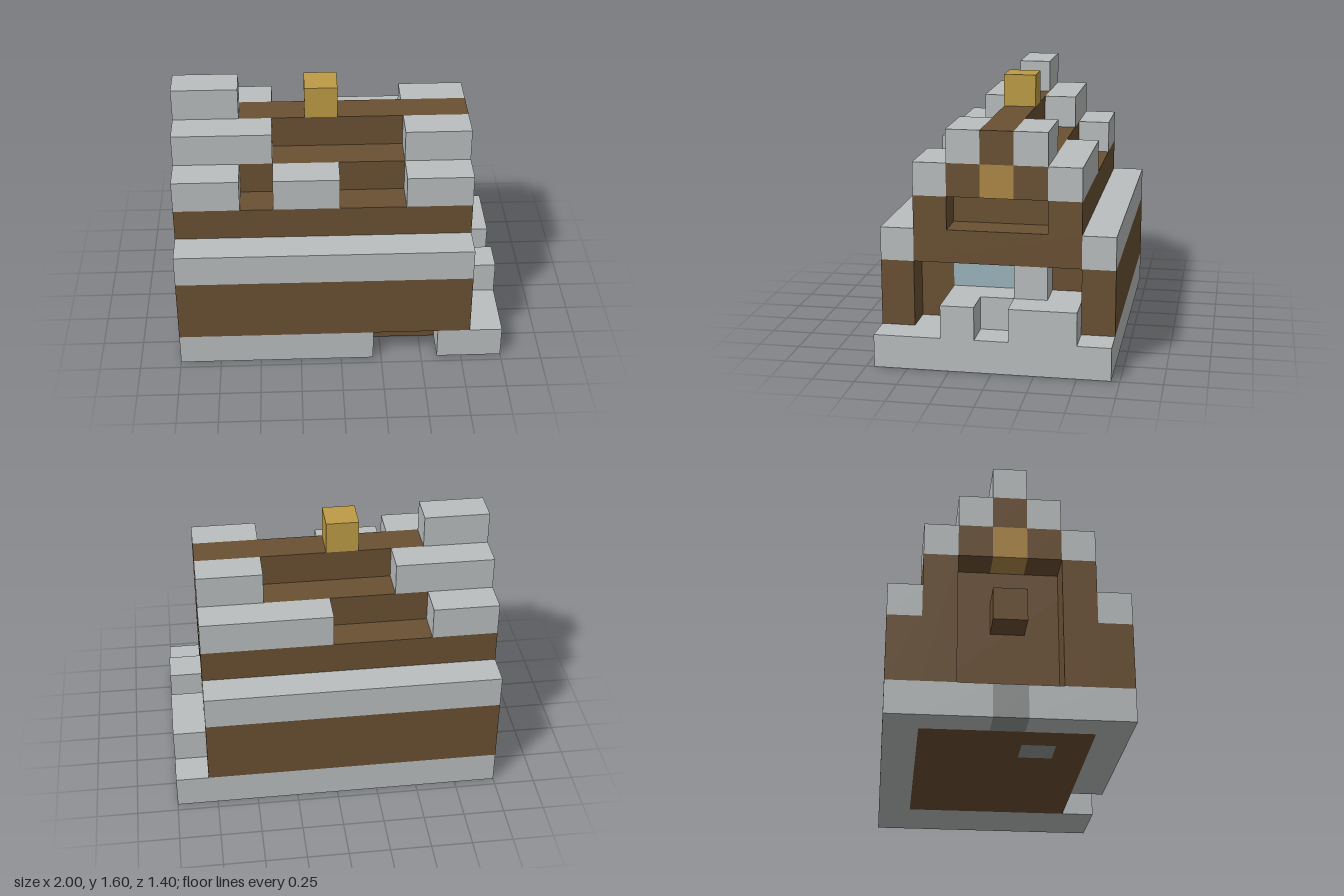
import * as THREE from 'three';

const paint = (name, color) => {
  const m = new THREE.MeshStandardMaterial({ color });
  m.name = name;
  return m;
};

export function createModel() {
  const root = new THREE.Group();
  root.name = 'blockHouse';
  const stone = paint('paleStone', 0xbabebe);
  const darkStone = paint('darkStone', 0x929494);
  const wood = paint('brownWood', 0x6a5033);
  const gold = paint('goldBlock', 0xbe9c46);
  const amber = paint('amberBlock', 0xae8745);
  const glass = paint('blueGlass', 0x9cb4be);

  // Box from its limits on each axis
  const box = (name, mat, x0, x1, y0, y1, z0, z1) => {
    const mesh = new THREE.Mesh(new THREE.BoxGeometry(x1 - x0, y1 - y0, z1 - z0), mat);
    mesh.position.set((x0 + x1) / 2, (y0 + y1) / 2, (z0 + z1) / 2);
    mesh.name = name;
    root.add(mesh);
  };
  // Same box on the front (+z) and the back (-z)
  const pair = (name, mat, x0, x1, y0, y1, z0, z1) => {
    box(name + 'Front', mat, x0, x1, y0, y1, z0, z1);
    box(name + 'Back', mat, x0, x1, y0, y1, -z1, -z0);
  };

  // Foundation rim, with a gap at the front
  box('rimBack', stone, -1, 1, 0, 0.2, -0.7, -0.5);
  box('rimFrontLong', stone, -1, 0.2, 0, 0.2, 0.5, 0.7);
  box('rimFrontShort', stone, 0.6, 1, 0, 0.2, 0.5, 0.7);
  box('porchFloor', stone, 0.6, 1, 0, 0.2, -0.5, 0.5);
  pair('rimEnd', stone, -1, -0.8, 0, 0.2, 0.1, 0.5);
  box('rimDarkBlock', darkStone, -1, -0.8, 0, 0.2, -0.1, 0.1);

  // Wooden floor around one dark block
  box('floorBack', wood, -0.8, 0.6, 0, 0.2, -0.5, 0.1);
  box('floorFront', wood, -0.8, 0.6, 0, 0.2, 0.3, 0.5);
  box('floorEnd', wood, -0.8, -0.6, 0, 0.2, 0.1, 0.3);
  box('floorMain', wood, -0.4, 0.6, 0, 0.2, 0.1, 0.3);
  box('floorDarkBlock', darkStone, -0.6, -0.4, 0, 0.2, 0.1, 0.3);

  // Body, end posts and side walls
  box('body', wood, -0.8, 0.6, 0.2, 1, -0.5, 0.5);
  pair('endPost', wood, -1, -0.8, 0.2, 1, 0.3, 0.5);
  box('beamEnd', wood, -1, -0.8, 0.6, 0.8, -0.1, 0.1);
  pair('sideWall', wood, -1, 0.8, 0.2, 0.6, 0.5, 0.7);
  pair('lowerEave', stone, -1, 0.8, 0.6, 0.8, 0.5, 0.7);
  box('porchBeam', wood, 0.6, 0.8, 0.6, 0.8, -0.5, 0.5);
  pair('porchBracket', wood, 0.6, 0.8, 0.8, 1, 0.3, 0.5);

  // Window and porch steps
  box('window', glass, 0.6, 0.605, 0.4, 0.6, -0.1, 0.3);
  box('stepInner', stone, 0.6, 0.8, 0.2, 0.4, -0.5, 0.3);
  box('stepBack', stone, 0.8, 1, 0.2, 0.4, -0.5, -0.1);
  box('stepFront', stone, 0.8, 1, 0.2, 0.4, 0.1, 0.3);
  box('stepUpper', stone, 0.6, 0.8, 0.4, 0.6, -0.3, -0.1);

  // Stepped roof core with amber gable blocks
  box('roofCore', wood, -0.8, 0.6, 1, 1.2, -0.3, 0.3);
  for (const [x0, x1] of [[-1, -0.8], [0.6, 0.8]]) {
    pair('gable', wood, x0, x1, 1, 1.2, 0.1, 0.3);
    box('gableBlock', amber, x0, x1, 1, 1.2, -0.1, 0.1);
  }
  box('ridge', wood, -1, 0.8, 1.2, 1.4, -0.1, 0.1);

  // Broken stone roof courses
  for (const [x0, x1] of [[-1, -0.6], [-0.4, 0], [0.4, 0.8]])
    box('middleCourseFront', stone, x0, x1, 1, 1.2, 0.3, 0.5);
  for (const [x0, x1] of [[-1, -0.6], [0, 0.8]])
    box('middleCourseBack', stone, x0, x1, 1, 1.2, -0.5, -0.3);
  for (const [x0, x1] of [[-1, -0.4], [0.4, 0.8]])
    pair('upperCourse', stone, x0, x1, 1.2, 1.4, 0.1, 0.3);
  box('ridgeCap', stone, -1, -0.6, 1.4, 1.6, -0.1, 0.1);
  box('ridgeGoldBlock', gold, -0.2, 0, 1.4, 1.6, -0.1, 0.1);

  return root;
}
